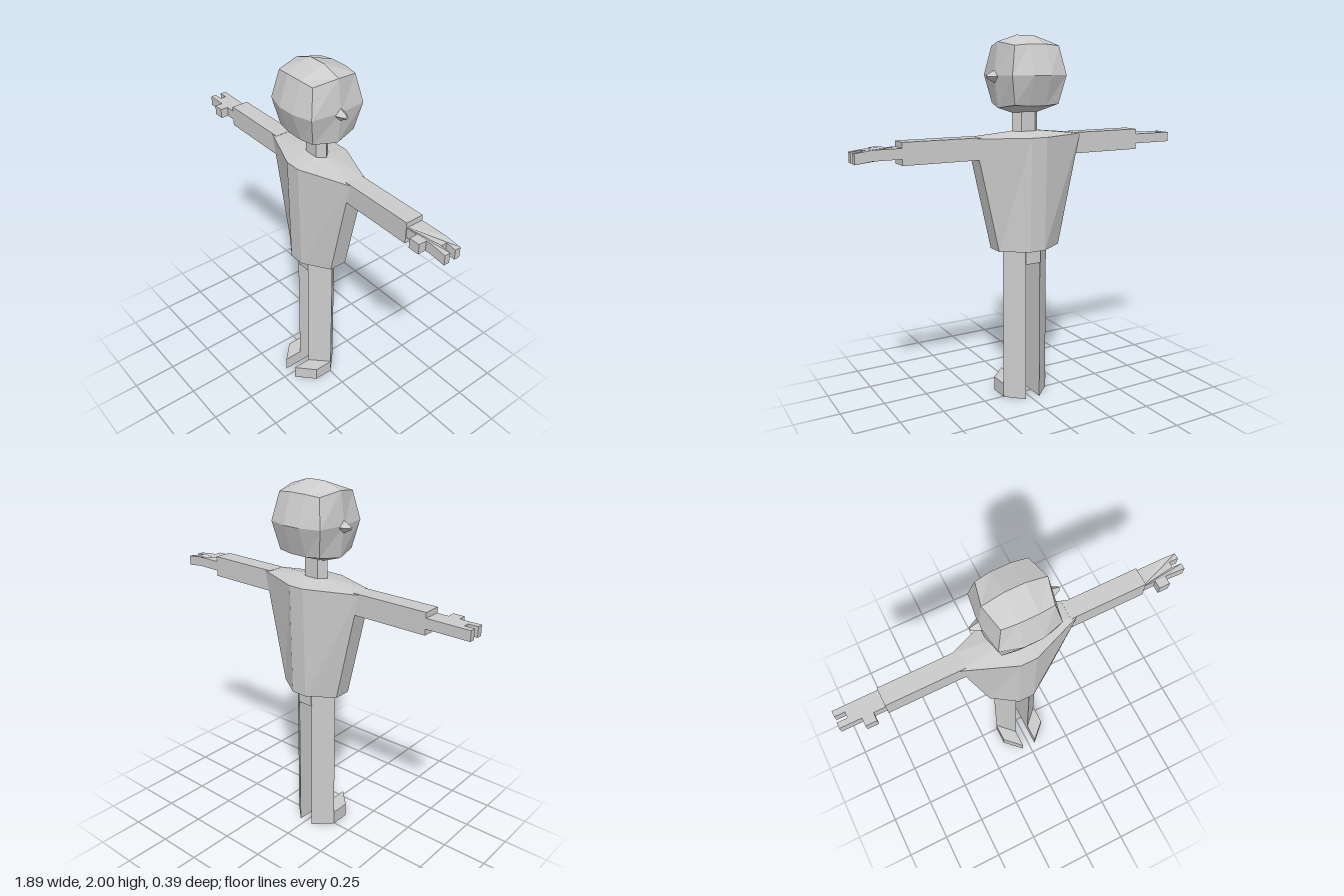
import * as THREE from 'three';

const material = new THREE.MeshStandardMaterial({ color: 0xcccccc, flatShading: true, side: THREE.DoubleSide });

function part(name, geometry, parent) {
  const mesh = new THREE.Mesh(geometry, material);
  mesh.name = name;
  parent.add(mesh);
  return mesh;
}

// Upright prism from a plan outline of [x, z] points
function prism(points, y0, y1) {
  const shape = new THREE.Shape(points.map(([x, z]) => new THREE.Vector2(x, -z)));
  const g = new THREE.ExtrudeGeometry(shape, { depth: y1 - y0, bevelEnabled: false });
  return g.rotateX(-Math.PI / 2).translate(0, y0, 0);
}

// Eight-sided ring with narrow front and narrow sides, counter-clockwise from above
function octagon(y, halfWidth, halfDepth, flatX, flatZ) {
  return [
    [halfWidth, flatZ], [halfWidth, -flatZ], [flatX, -halfDepth], [-flatX, -halfDepth],
    [-halfWidth, -flatZ], [-halfWidth, flatZ], [-flatX, halfDepth], [flatX, halfDepth],
  ].map(([x, z]) => [x, y, z]);
}

// Closed skin over rings stacked from bottom to top
function loft(rings) {
  const n = rings[0].length, index = [], last = (rings.length - 1) * n;
  for (let r = 0; r < rings.length - 1; r++) {
    for (let i = 0; i < n; i++) {
      const a = r * n + i, b = r * n + (i + 1) % n;
      index.push(a, b, b + n, a, b + n, a + n);
    }
  }
  for (let i = 1; i < n - 1; i++) {
    index.push(0, i + 1, i, last, last + i, last + i + 1);
  }
  const g = new THREE.BufferGeometry();
  g.setAttribute('position', new THREE.Float32BufferAttribute(rings.flat(2), 3));
  g.setIndex(index);
  g.computeVertexNormals();
  return g;
}

// Box rounded towards a ball: edges and corners are drawn in
function headGeometry() {
  const g = new THREE.BoxGeometry(2, 2, 2, 3, 2, 2);
  const p = g.attributes.position;
  for (let i = 0; i < p.count; i++) {
    const x = p.getX(i), y = Math.round(p.getY(i)), z = Math.round(p.getZ(i));
    const outer = Math.abs(x) > 0.9, both = y !== 0 && z !== 0;
    const px = outer ? (both ? 0.13 : y || z ? 0.16 : 0.182) : 0.05;
    const py = outer ? (both ? 0.148 : 0.168) : (both ? 0.155 : 0.203);
    const pz = outer ? (both ? 0.128 : 0.158) : (both ? 0.137 : 0.19);
    p.setXYZ(i, Math.sign(x) * px, y * py, z * pz);
  }
  g.computeVertexNormals();
  return g;
}

export function createModel() {
  const model = new THREE.Group();
  model.name = 'figure';
  const body = new THREE.Group();
  body.name = 'body';
  body.position.set(-0.006, 0, -0.004);
  model.add(body);

  // Torso widening to the shoulders, with a shallow sloping top
  part('torso', loft([
    octagon(0.87, 0.185, 0.143, 0.045, 0.05),
    octagon(1.48, 0.32, 0.157, 0.045, 0.05),
    octagon(1.505, 0.085, 0.04, 0.045, 0.012),
  ]), body);

  // Six-sided neck
  part('neck', prism([
    [0.077, 0], [0.042, -0.038], [-0.042, -0.038], [-0.077, 0], [-0.042, 0.038], [0.042, 0.038],
  ], 1.49, 1.63), body);

  part('head', headGeometry(), body).position.y = 1.797;

  part('hips', prism([[0.045, 0.095], [0.045, -0.095], [-0.045, -0.095], [-0.045, 0.095]], 0.79, 0.88), body);

  for (const s of [1, -1]) {
    const side = s > 0 ? 'left' : 'right';
    const mirror = (points) => points.map(([x, z]) => [s * x, z]);

    // Four-sided ear tapering outwards
    const ear = new THREE.CylinderGeometry(0.01, 0.036, 0.055, 4).rotateZ(-s * Math.PI / 2);
    part(side + 'Ear', ear, body).position.set(s * 0.197, 1.79, 0);

    // Arm
    const arm = new THREE.BoxGeometry(0.425, 0.115, 0.1);
    part(side + 'Arm', arm, body).position.set(s * 0.4975, 1.4275, 0);

    // Hand with a thumb and two fingers
    const hand = prism(mirror([
      [0.69, -0.05], [0.86, -0.05], [0.947, -0.05], [0.947, -0.018], [0.893, -0.018], [0.893, 0.014],
      [0.947, 0.014], [0.947, 0.046], [0.86, 0.046], [0.832, 0.046], [0.832, 0.09],
      [0.772, 0.09], [0.772, 0.046], [0.69, 0.046],
    ]), 1.402, 1.456);
    if (s > 0) {
      // Left fingertips droop a little
      const p = hand.attributes.position;
      for (let i = 0; i < p.count; i++) {
        p.setY(i, p.getY(i) - Math.max(0, p.getX(i) - 0.86) * 0.13);
      }
      hand.computeVertexNormals();
    }
    part(side + 'Hand', hand, body);

    // Three-sided leg and a foot pushed forward from its front face
    part(side + 'Leg', prism(mirror([[0.043, 0.098], [0.137, 0], [0.043, -0.092]]), 0, 0.88), body);
    part(side + 'Foot', prism(mirror([[0.043, 0.098], [0.043, 0.204], [0.139, 0.11], [0.139, 0]]), 0, 0.08), body);
  }
  return model;
}
